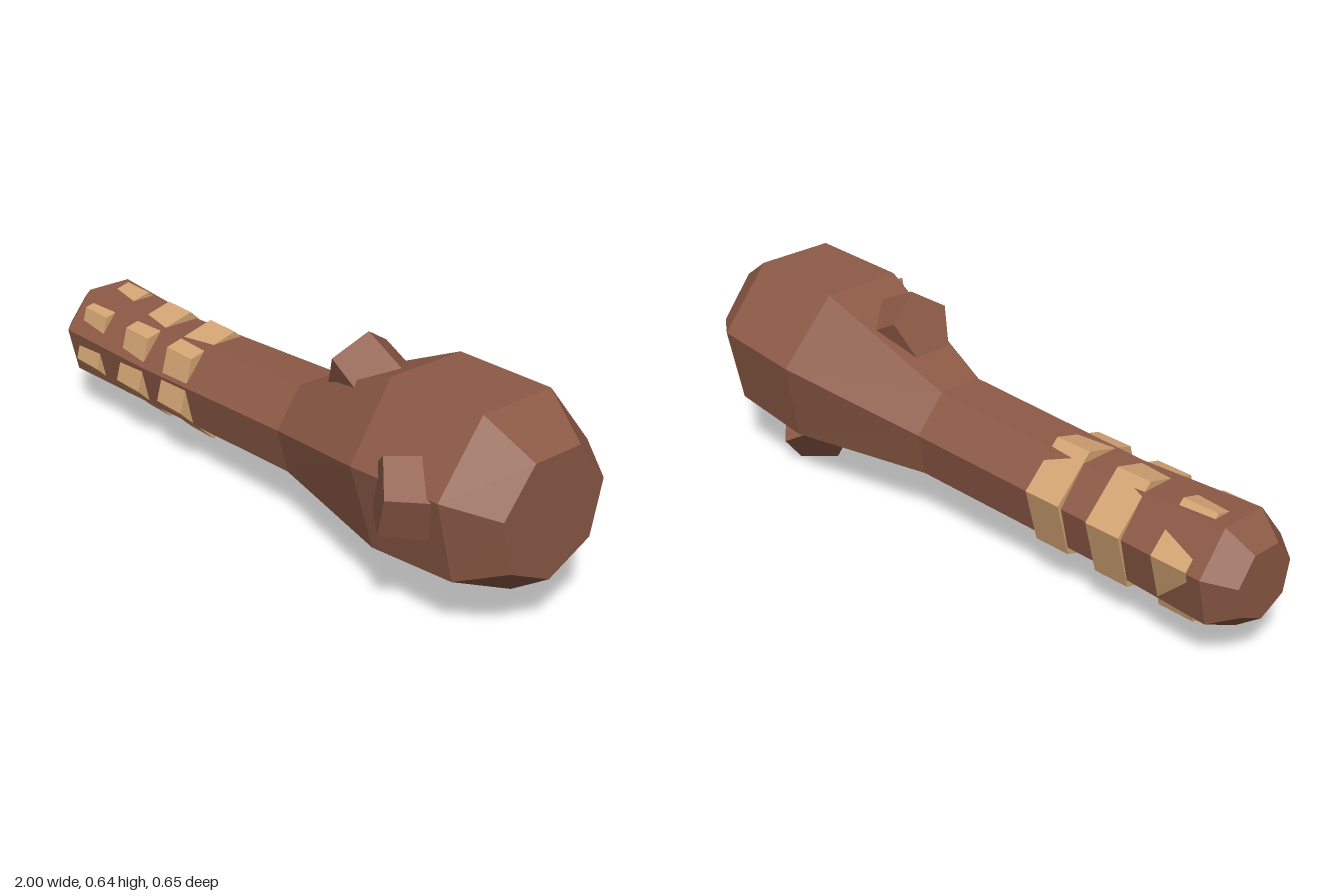
import * as THREE from 'three';

const wood = new THREE.MeshStandardMaterial({ color: 0x8d5a46, flatShading: true });
wood.name = 'brown wood';
const wrap = new THREE.MeshStandardMaterial({ color: 0xd4a574, flatShading: true });
wrap.name = 'tan wrap';

// Closed faceted solid along x. Each ring is [x, centreY, centreZ, radius, lean],
// its corners measured from straight down towards +z.
function loft(rings, sides, turn = 0) {
  const pos = [];
  const corner = ([x, cy, cz, r, lean = 0], k) => {
    const a = turn + (k / sides) * Math.PI * 2;
    const dy = -r * Math.cos(a);
    return [x + lean * dy, cy + dy, cz + r * Math.sin(a)];
  };
  const tri = (a, b, c) => pos.push(...a, ...b, ...c);
  const first = rings[0], last = rings[rings.length - 1];
  for (let k = 0; k < sides; k++) {
    for (let i = 0; i < rings.length - 1; i++) {
      const a = corner(rings[i], k), b = corner(rings[i], k + 1);
      const c = corner(rings[i + 1], k + 1), d = corner(rings[i + 1], k);
      tri(a, d, c);
      tri(a, c, b);
    }
    tri(first.slice(0, 3), corner(first, k), corner(first, k + 1));
    tri(last.slice(0, 3), corner(last, k + 1), corner(last, k));
  }
  const g = new THREE.BufferGeometry();
  g.setAttribute('position', new THREE.Float32BufferAttribute(pos, 3));
  g.computeVertexNormals();
  return g;
}

// Five-sided cut branch stub whose flat tip is centred on `tip` and faces `dir`
function stub(tip, dir, rTip, rBase, length) {
  const g = new THREE.CylinderGeometry(rTip, rBase, length, 5);
  g.translate(0, -length / 2, 0);
  const y = new THREE.Vector3(...dir).normalize();
  const z = new THREE.Vector3(0, 1, 0).addScaledVector(y, -y.y).normalize();
  const x = new THREE.Vector3().crossVectors(y, z);
  g.applyMatrix4(new THREE.Matrix4().makeBasis(x, y, z).setPosition(...tip));
  return g;
}

export function createModel() {
  const group = new THREE.Group();
  const add = (name, geometry, material) => {
    const mesh = new THREE.Mesh(geometry, material);
    mesh.name = name;
    group.add(mesh);
  };

  // Seven-sided club: narrow handle on the left, swollen head on the right
  add('clubBody', loft([
    [-1.0, 0.25, -0.03, 0.108],
    [-0.92, 0.251, -0.026, 0.17],
    [-0.53, 0.25, -0.025, 0.155],
    [0.115, 0.276, -0.04, 0.162, -0.07],
    [0.56, 0.352, -0.043, 0.291, -0.12],
    [0.86, 0.372, -0.042, 0.281, -0.035],
    [0.995, 0.367, -0.04, 0.187],
  ], 7), wood);

  // Six-sided grip wraps, partly sunk into the handle
  [[-0.875, -0.76, 0.248], [-0.65, -0.535, 0.25], [-0.435, -0.315, 0.256]].forEach(([x0, x1, y], i) => {
    add('gripWrap' + (i + 1), loft([[x0, y, -0.026, 0.172], [x1, y, -0.026, 0.172]], 6, Math.PI / 12), wrap);
  });

  // Branch stubs on the head
  add('frontStub', stub([0.68, 0.4, 0.26], [-0.6, 0.08, 0.79], 0.105, 0.115, 0.18), wood);
  add('topStub', stub([0.275, 0.553, -0.025], [-0.88, 0.48, 0], 0.105, 0.115, 0.22), wood);
  add('bottomStub', stub([0.64, 0.068, -0.16], [-0.55, -0.6, -0.55], 0.1, 0.11, 0.2), wood);

  return group;
}
